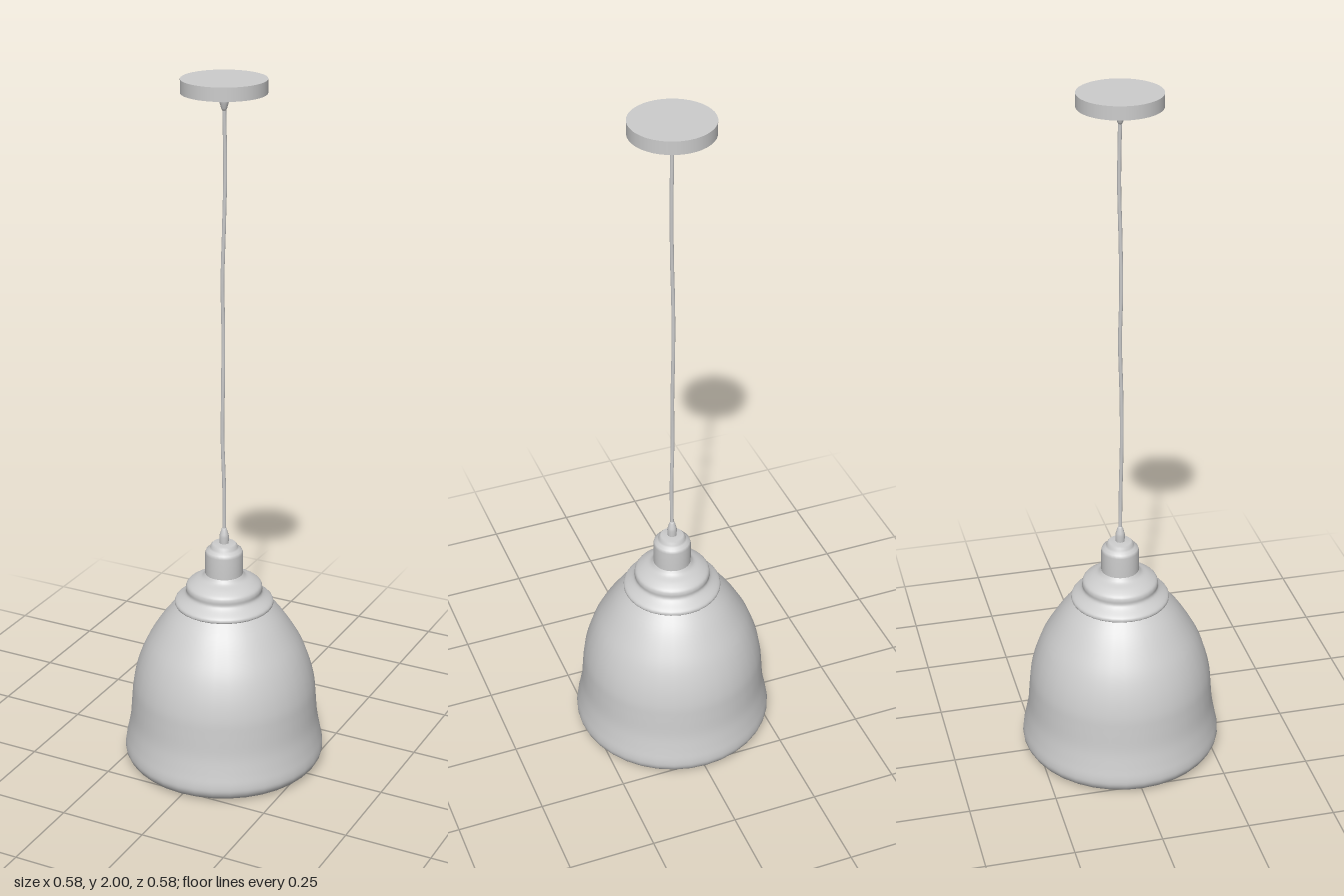
import * as THREE from 'three';

const grey = new THREE.MeshStandardMaterial({ name: 'warmGrey', color: 0xcccccc, side: THREE.DoubleSide });

// Revolves a profile of [radius, height] points, optionally smoothed.
function lathe(name, profile, segments, smooth = 0) {
  let pts = profile.map(([r, y]) => new THREE.Vector2(r, y));
  if (smooth) pts = new THREE.SplineCurve(pts).getPoints(smooth);
  const mesh = new THREE.Mesh(new THREE.LatheGeometry(pts, segments), grey);
  mesh.name = name;
  return mesh;
}

export function createModel() {
  const lamp = new THREE.Group();
  lamp.name = 'pendantLamp';

  // Bell shade: inner wall up from the curled lip is a separate liner
  lamp.add(lathe('shade', [
    [0.185, 0.035], [0.195, 0.018], [0.22, 0.006], [0.25, 0.004], [0.273, 0.012], [0.287, 0.032], [0.288, 0.055],
    [0.281, 0.09], [0.272, 0.14], [0.267, 0.2], [0.262, 0.25], [0.249, 0.305],
    [0.228, 0.36], [0.2, 0.41], [0.167, 0.458], [0.13, 0.5],
  ], 36, 60));
  lamp.add(lathe('shadeLiner', [
    [0.185, 0.035], [0.2, 0.05], [0.235, 0.08], [0.25, 0.14], [0.248, 0.22],
    [0.232, 0.3], [0.19, 0.39], [0.13, 0.465], [0.06, 0.488], [0, 0.49],
  ], 36, 36));

  // Stepped cap on top of the shade
  lamp.add(lathe('cap', [
    [0.12, 0.492], [0.138, 0.493], [0.141, 0.5], [0.136, 0.508], [0.117, 0.522],
    [0.109, 0.532], [0.109, 0.545], [0.104, 0.556], [0.085, 0.568], [0.064, 0.577], [0.054, 0.588],
  ], 32, 40));

  // Lamp socket
  lamp.add(lathe('socket', [
    [0.054, 0.586], [0.054, 0.65], [0.051, 0.659], [0.042, 0.664],
    [0.038, 0.668], [0.037, 0.675], [0.032, 0.68], [0, 0.681],
  ], 28));

  // Matching cord grips at both ends
  const grip = [[0.013, 0], [0.014, 0.022], [0.012, 0.03], [0.008, 0.044], [0.005, 0.05], [0, 0.05]];
  const lowerGrip = lathe('lowerCordGrip', grip, 14);
  lowerGrip.position.y = 0.678;
  const upperGrip = lathe('upperCordGrip', grip, 14);
  upperGrip.rotation.x = Math.PI;
  upperGrip.position.y = 1.966;
  lamp.add(lowerGrip, upperGrip);

  // Slightly wavy cord
  const path = new THREE.CatmullRomCurve3([
    [0, 0.71, 0], [0.001, 0.85, 0.002], [-0.003, 1.0, 0.004], [-0.002, 1.15, 0.003], [-0.003, 1.3, -0.001],
    [-0.004, 1.45, 0.002], [0, 1.6, 0.001], [0.002, 1.75, -0.002], [0, 1.94, 0],
  ].map((p) => new THREE.Vector3(...p)));
  const cord = new THREE.Mesh(new THREE.TubeGeometry(path, 48, 0.0055, 8), grey);
  cord.name = 'cord';
  lamp.add(cord);

  // Ceiling canopy
  const canopy = new THREE.Mesh(new THREE.CylinderGeometry(0.115, 0.115, 0.037, 40), grey);
  canopy.name = 'ceilingCanopy';
  canopy.position.y = 1.9815;
  lamp.add(canopy);

  return lamp;
}
